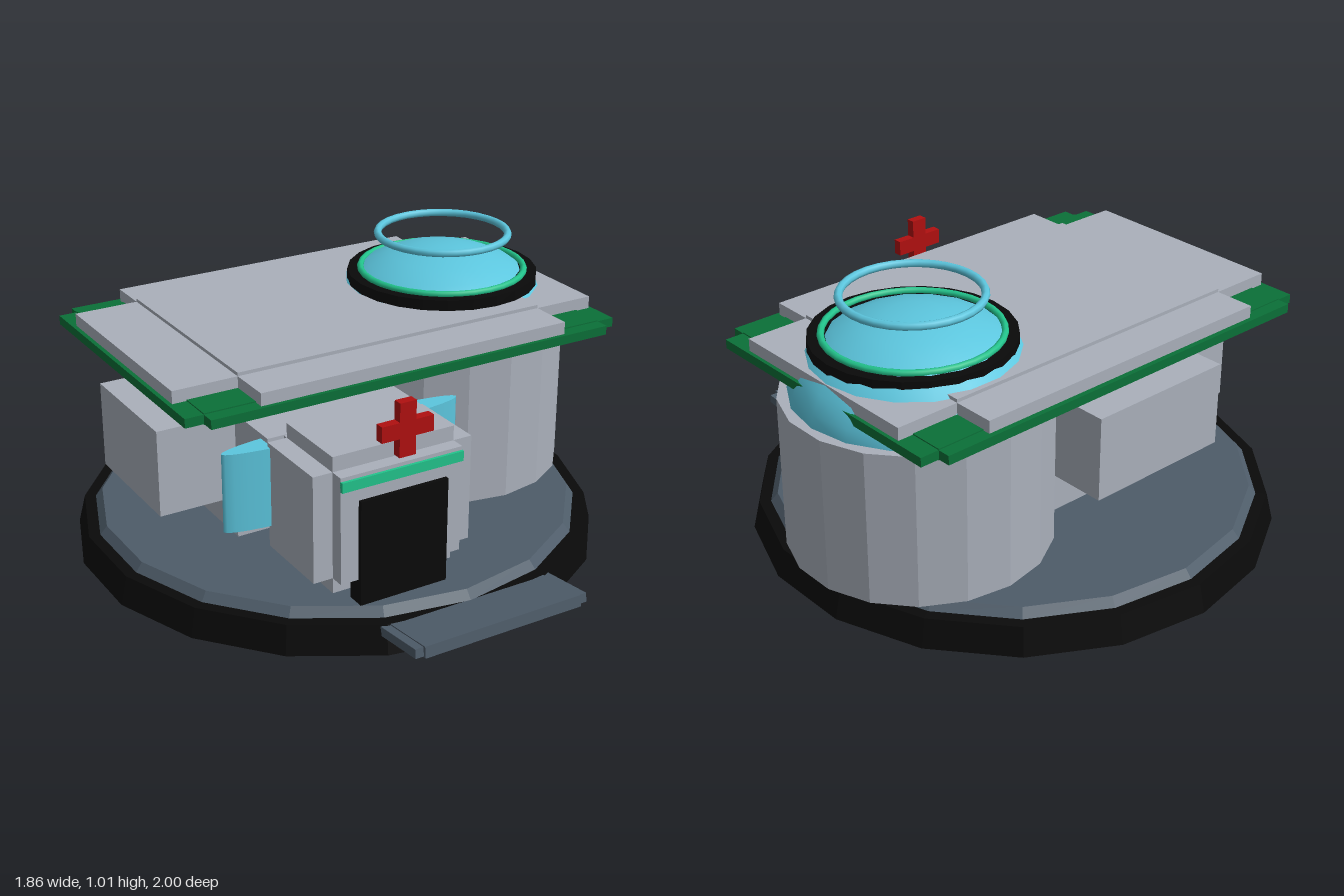
import * as THREE from 'three';

const mat = (name, color, extra = {}) => {
  const m = new THREE.MeshStandardMaterial({ color, ...extra });
  m.name = name;
  return m;
};

export function createModel() {
  const wall = mat('pale grey', 0xaab0bb);
  const facet = wall;
  const slate = mat('slate', 0x4e5c69);
  const black = mat('black', 0x0a0a0a);
  const green = mat('green', 0x0b7038);
  const mint = mat('mint', 0x22c48c);
  const blue = mat('sky blue', 0x5cc6de);
  const red = mat('red', 0xb01010);

  const model = new THREE.Group();
  model.name = 'clinic';

  const add = (name, geo, material, x = 0, y = 0, z = 0, parent = model) => {
    const m = new THREE.Mesh(geo, material);
    m.name = name;
    m.position.set(x, y, z);
    parent.add(m);
    return m;
  };
  // box from its limits on each axis
  const box = (name, material, [x0, x1], [y0, y1], [z0, z1], parent = model) =>
    add(name, new THREE.BoxGeometry(x1 - x0, y1 - y0, z1 - z0), material,
      (x0 + x1) / 2, (y0 + y1) / 2, (z0 + z1) / 2, parent);
  // block with notched edges: three crossing boxes, each long on one axis
  const notched = (name, material, wide, tall, deep, x, y, z) => {
    const g = new THREE.Group();
    g.name = name;
    box(name + 'Wide', material, wide, y, z, g);
    box(name + 'Tall', material, x, tall, z, g);
    box(name + 'Deep', material, x, y, deep, g);
    model.add(g);
    return g;
  };
  // flat-faced drum
  const drum = (name, material, rTop, rBottom, y0, y1, x, z, sides = 18) => {
    const geo = new THREE.CylinderGeometry(rTop, rBottom, y1 - y0, sides).toNonIndexed();
    geo.computeVertexNormals();
    return add(name, geo, material, x, (y0 + y1) / 2, z);
  };

  // ground disc
  drum('baseRim', black, 0.91, 0.935, 0, 0.1, -0.015, -0.065);
  drum('baseFloor', slate, 0.845, 0.87, 0.1, 0.13, -0.015, -0.065);

  // entrance ramp, tilted up at its outer end
  const ramp = new THREE.Group();
  ramp.name = 'ramp';
  ramp.position.set(-0.015, 0.084, 0.835);
  ramp.rotation.x = -0.12;
  box('rampPlate', slate, [-0.33, 0.33], [-0.016, 0.016], [-0.15, 0.15], ramp);
  box('rampCore', slate, [-0.3, 0.3], [-0.02, 0.02], [-0.16, 0.16], ramp);
  model.add(ramp);

  // round tower and its dome
  drum('tower', facet, 0.455, 0.455, 0.13, 0.68, 0.48, -0.147);
  const dome = add('dome', new THREE.SphereGeometry(1, 18, 7, 0, Math.PI * 2, 0, Math.PI / 2),
    blue, 0.48, 0.66, -0.147);
  dome.scale.set(0.425, 0.285, 0.425);

  // collar, light ring and floating halo above the roof
  drum('domeCollar', black, 0.343, 0.343, 0.828, 0.866, 0.475, -0.128, 24);
  const collarLight = add('collarLight', new THREE.TorusGeometry(0.296, 0.012, 8, 32), mint, 0.475, 0.872, -0.128);
  collarLight.rotation.x = Math.PI / 2;
  const halo = add('halo', new THREE.TorusGeometry(0.234, 0.014, 8, 32), blue, 0.475, 1, -0.128);
  halo.rotation.x = Math.PI / 2;

  // main building
  notched('mainHall', wall, [-0.775, 0.365], [0.13, 0.74], [-0.6, 0.32],
    [-0.49, 0.085], [0.285, 0.595], [-0.37, 0.09]);

  // bowed window across the front
  const frontWindow = add('frontWindow', new THREE.CylinderGeometry(0.45, 0.45, 0.28, 32), blue, -0.205, 0.438, 0.315);
  frontWindow.scale.z = 0.12;

  // entrance porch with door, light strip and cross
  notched('porch', wall, [-0.5, 0.09], [0.163, 0.645], [0.305, 0.68],
    [-0.43, 0.02], [0.218, 0.593], [0.34, 0.63]);
  box('door', black, [-0.365, -0.04], [0.13, 0.5], [0.63, 0.695]);
  box('porchLight', mint, [-0.43, 0.02], [0.545, 0.58], [0.67, 0.69]);
  box('crossUpright', red, [-0.235, -0.175], [0.625, 0.81], [0.676, 0.708]);
  for (const [x0, x1] of [[-0.3, -0.235], [-0.175, -0.11]])
    box('crossArm', red, [x0, x1], [0.69, 0.745], [0.676, 0.708]);

  // roof slabs
  notched('roofTrim', green, [-0.81, 0.853], [0.733, 0.772], [-0.67, 0.44],
    [-0.745, 0.785], [0.736, 0.768], [-0.625, 0.39]);
  notched('roofSlab', wall, [-0.795, 0.84], [0.76, 0.824], [-0.652, 0.426],
    [-0.565, 0.612], [0.766, 0.812], [-0.505, 0.27]);

  return model;
}
